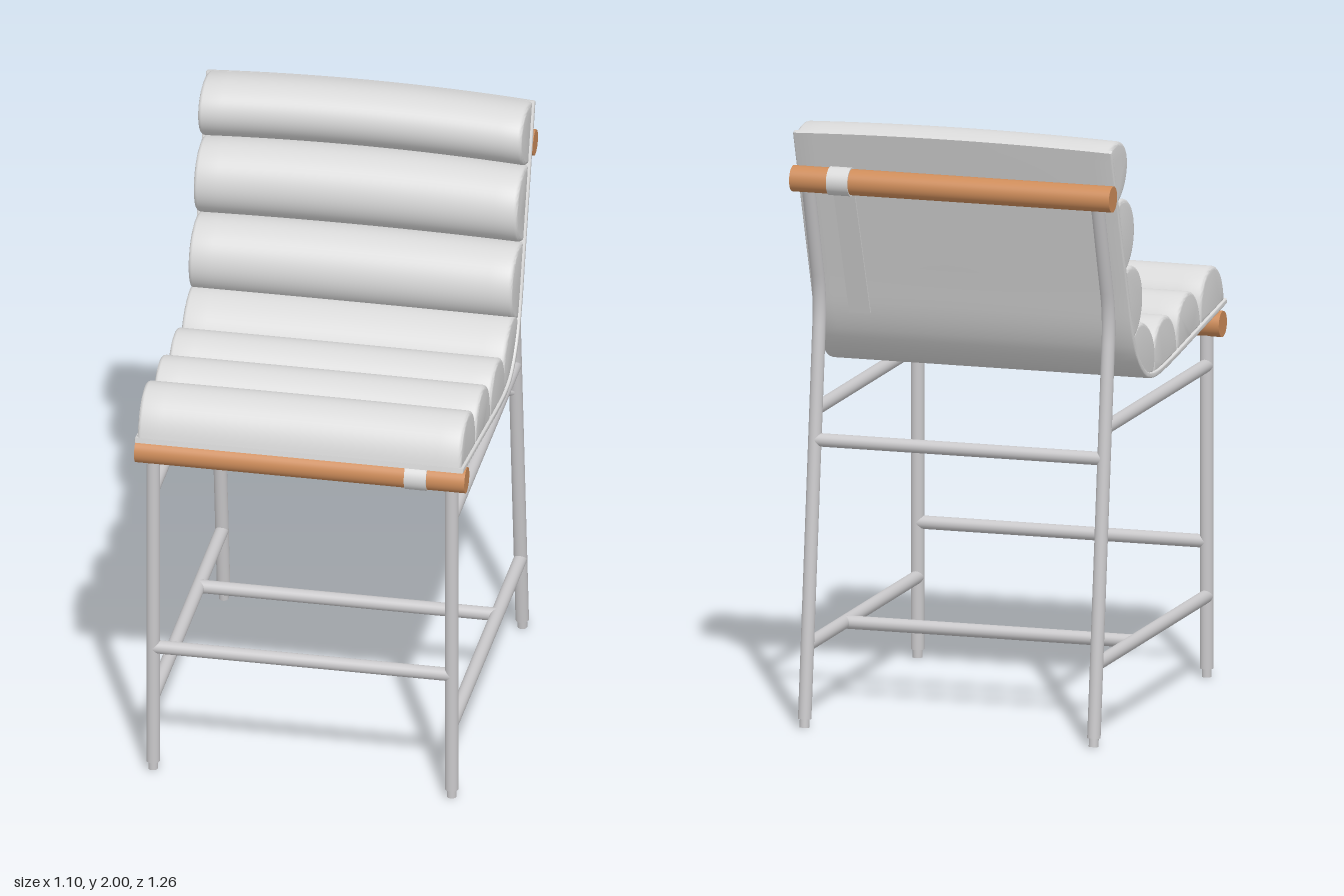
import * as THREE from 'three';
import { mergeVertices, toCreasedNormals } from 'three/addons/utils/BufferGeometryUtils.js';

const V3 = (x, y, z) => new THREE.Vector3(x, y, z);

export function createModel() {
  const model = new THREE.Group();
  const paint = (name, color) => {
    const m = new THREE.MeshStandardMaterial({ color });
    m.name = name;
    return m;
  };
  const fabric = paint('light grey fabric', 0xd9d9d9);
  const metal = paint('grey metal', 0xc9c8ca);
  const wood = paint('warm wood', 0xcd8c5a);

  const add = (name, geometry, material) => {
    const mesh = new THREE.Mesh(geometry, material);
    mesh.name = name;
    model.add(mesh);
    return mesh;
  };

  // Straight round bar between two points
  const bar = (name, a, b, r, material, sides = 24) => {
    const d = b.clone().sub(a);
    const mesh = add(name, new THREE.CylinderGeometry(r, r, d.length(), sides), material);
    mesh.position.copy(a).add(b).multiplyScalar(0.5);
    mesh.quaternion.setFromUnitVectors(V3(0, 1, 0), d.normalize());
    return mesh;
  };

  // Side profile (z, y) extruded across the width, with a slight bow up the back
  const acrossWidth = (points, halfWidth, bevel) => {
    const shape = new THREE.Shape(points.map(p => new THREE.Vector2(-p.x, p.y)));
    let g = new THREE.ExtrudeGeometry(shape, {
      depth: 2 * (halfWidth - bevel), steps: 16, bevelEnabled: true,
      bevelThickness: bevel, bevelSize: bevel, bevelOffset: -bevel, bevelSegments: 3,
    });
    g.translate(0, 0, bevel - halfWidth).rotateY(Math.PI / 2);
    const pos = g.attributes.position;
    for (let i = 0; i < pos.count; i++) {
      const k = 1 - (pos.getX(i) / halfWidth) ** 2;
      const t = THREE.MathUtils.smoothstep(pos.getY(i), 1.2, 1.95);
      pos.setY(i, pos.getY(i) + 0.013 * k * t);
      pos.setZ(i, pos.getZ(i) - 0.01 * k * t);
    }
    g.deleteAttribute('normal');
    g.deleteAttribute('uv');
    g = mergeVertices(g, 1e-5);
    return toCreasedNormals(g, 0.7);
  };

  // Sling: one continuous seat and back line, as (z, y)
  const line = new THREE.SplineCurve([
    [0.63, 1.24], [0.3, 1.192], [0.05, 1.156], [-0.1, 1.143], [-0.2, 1.16], [-0.285, 1.222],
    [-0.345, 1.32], [-0.4, 1.475], [-0.48, 1.705], [-0.572, 1.97],
  ].map(p => new THREE.Vector2(...p)));
  const samples = line.getSpacedPoints(400);
  const normalAt = i => {
    const a = samples[Math.max(i - 1, 0)], b = samples[Math.min(i + 1, 400)];
    return new THREE.Vector2(b.y - a.y, a.x - b.x).normalize();
  };
  const offset = (i, d) => samples[i].clone().addScaledVector(normalAt(i), d);
  const inner = [], outer = [];
  for (let i = 0; i <= 400; i += 8) {
    inner.push(offset(i, 0.009));
    outer.push(offset(i, -0.009));
  }
  add('sling', acrossWidth([...inner, ...outer.reverse()], 0.545, 0.004), fabric);

  // Padded rolls: flat side on the sling, rounded side towards the sitter
  const joints = [[0.632, 1.24], [0.385, 1.204], [0.135, 1.168], [-0.11, 1.143],
    [-0.33, 1.29], [-0.42, 1.53], [-0.503, 1.77], [-0.572, 1.97]].map(([z, y]) => {
    const p = new THREE.Vector2(z, y);
    return samples.reduce((best, s, i) =>
      s.distanceTo(p) < samples[best].distanceTo(p) ? i : best, 0);
  });
  [0.157, 0.157, 0.157, 0.112, 0.157, 0.157, 0.163].forEach((height, n) => {
    const i0 = joints[n], i1 = joints[n + 1];
    const a = samples[i0], b = samples[i1];
    const mid = a.clone().add(b).multiplyScalar(0.5);
    const half = b.clone().sub(a).multiplyScalar(0.5);
    const up = new THREE.Vector2(half.y, -half.x).normalize();
    if (up.y < 0) up.negate();
    const pts = [];
    for (let k = 0; k <= 28; k++) {
      const t = Math.PI * k / 28;
      pts.push(mid.clone().addScaledVector(half, Math.cos(t))
        .addScaledVector(up, height * Math.max(Math.sin(t), 0) ** 0.85));
    }
    for (let k = 1; k < 10; k++) pts.push(samples[Math.round(i0 + (i1 - i0) * k / 10)].clone());
    add(n < 4 ? 'seatRoll' : 'backRoll', acrossWidth(pts, 0.537, 0.012), fabric);
  });

  // Wooden rails with a strap loop on each
  [['frontRail', 1.175, 0.57], ['backRail', 1.815, -0.575]].forEach(([name, y, z]) => {
    bar(name, V3(-0.55, y, z), V3(0.545, y, z), 0.043, wood, 40);
    bar('strapLoop', V3(0.345, y, z), V3(0.418, y, z), 0.047, fabric, 40);
  });

  // Thin strap from the back rail down to the lower back
  const strap = bar('backStrap', V3(0.381, 1.79, -0.55), V3(0.381, 1.34, -0.377), 0.01, fabric);
  const strapLength = strap.geometry.parameters.height;
  strap.geometry = new THREE.BoxGeometry(0.073, strapLength, 0.006);

  // Legs, feet and side stretchers, mirrored
  const R = 0.022;
  for (const side of [1, -1]) {
    const x = 0.495 * side;
    bar('frontLeg', V3(x, 0.028, 0.57), V3(x, 1.15, 0.57), R, metal);
    const path = new THREE.CurvePath();
    const low = V3(x, 1.31, -0.457), bend = V3(x, 1.4, -0.446), high = V3(x, 1.48, -0.472);
    path.add(new THREE.LineCurve3(V3(x, 0.028, -0.607), low));
    path.add(new THREE.QuadraticBezierCurve3(low, bend, high));
    path.add(new THREE.LineCurve3(high, V3(x, 1.8, -0.572)));
    add('backLeg', new THREE.TubeGeometry(path, 60, R, 24), metal);
    const cap = add('backLegEnd', new THREE.CircleGeometry(R, 24), metal);
    cap.position.set(x, 0.028, -0.607);
    cap.rotation.x = Math.PI / 2 + 0.11;
    bar('foot', V3(x, 0, 0.57), V3(x, 0.03, 0.57), 0.016, metal);
    bar('foot', V3(x, 0, -0.61), V3(x, 0.035, -0.606), 0.016, metal);
    bar('upperSideStretcher', V3(x, 1.035, 0.57), V3(x, 1.035, -0.487), R, metal);
    bar('lowerSideStretcher', V3(x, 0.268, 0.57), V3(x, 0.268, -0.577), R, metal);
  }

  // Cross bars joining the two sides
  [['frontCrossBar', 0.45, 0.57], ['backCrossBar', 0.935, -0.5], ['lowerCrossBar', 0.268, -0.19]]
    .forEach(([name, y, z]) => bar(name, V3(-0.495, y, z), V3(0.495, y, z), R, metal));

  return model;
}
